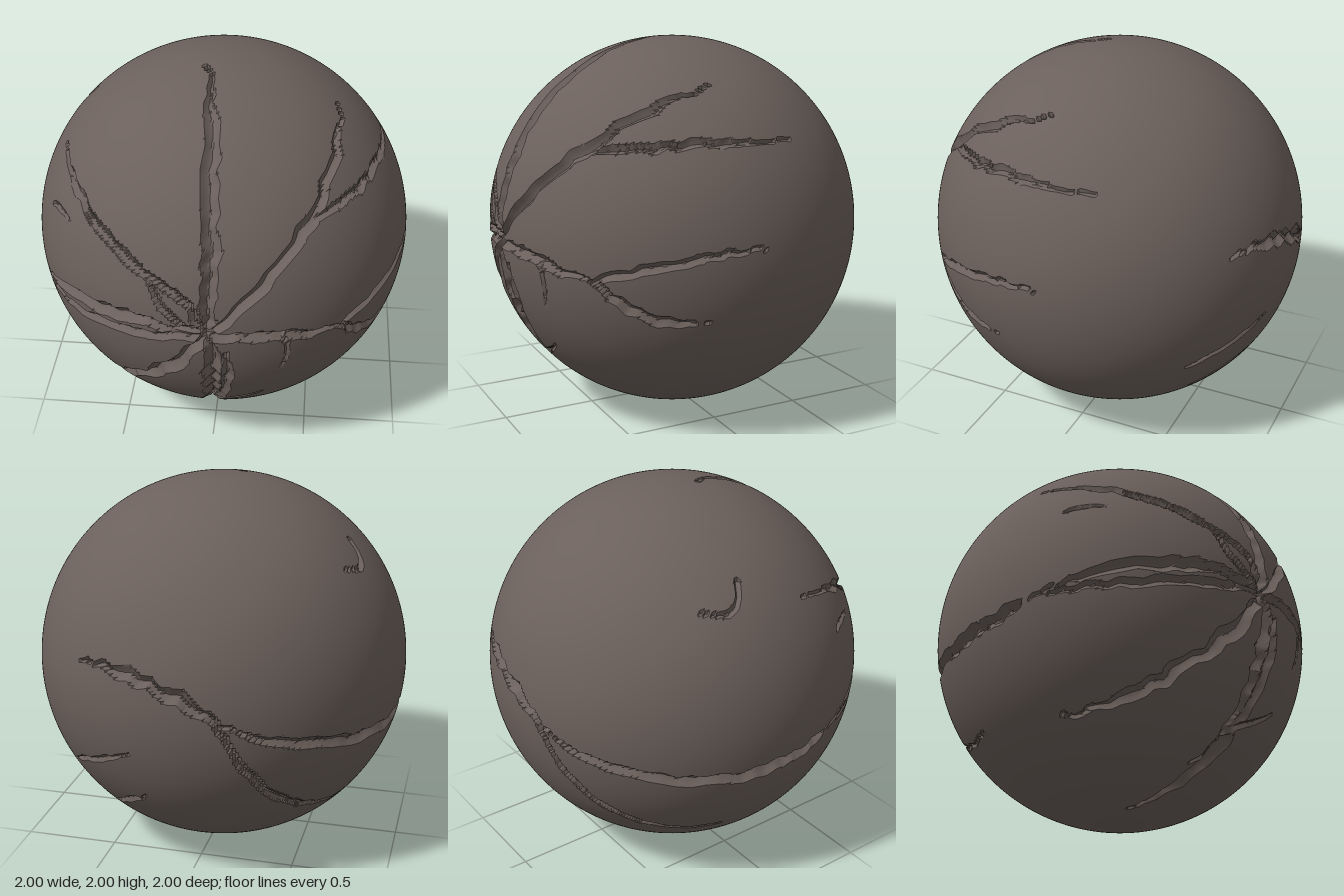
import * as THREE from 'three';
import { toCreasedNormals } from 'three/addons/utils/BufferGeometryUtils.js';

const DEG = Math.PI / 180;
let seed;
const rand = () => {
  seed = (seed * 16807) % 2147483647;
  return seed / 2147483647 - 0.5;
};

// Cracks radiating from the hub at the front: heading, reach (degrees), sideways bow, half width
const hubCracks = [
  [94, 84, -0.05, 0.04],
  [54, 85, -0.08, 0.035],
  [-8, 42, 0.01, 0.035],
  [-98, 79, 0.09, 0.045],
  [-136, 73, 0.07, 0.04],
  [187, 68, -0.08, 0.036],
  [188, 72, 0.01, 0.026],
  [115, 11, 0, 0.028],
  [134, 26, 0.06, 0.02],
];

// Branches and separate scratches: start heading and reach, end heading and reach, bow, half width
const branches = [
  [46, 44, 34, 104, -0.06, 0.025], // upper right fork
  [-8, 42, 4, 90, 0.04, 0.028], // right forks
  [-8, 42, -18, 75, -0.06, 0.03],
  [-3, 22, -38, 27, 0.03, 0.012],
  [-52, 9, -96, 55, 0.06, 0.03], // second lower crack and spur
  [-88, 41, -63, 36, 0, 0.018],
  [115, 11, 144, 78, 0.03, 0.028], // upper left
  [189, 76, 182, 168, 0.09, 0.036], // round the back
  [182, 168, 21, 146, -0.07, 0.036],
  [182, 168, 220, 103, -0.14, 0.022],
  [134, 97, 139, 111, 0.11, 0.022], // chips and scratches
  [-34, 131, -46, 161, 0.01, 0.018],
  [-58, 128, -69, 147, 0.01, 0.022],
  [158, 65, 154, 53, 0.02, 0.015],
];

// Point on the unit sphere, measured outward from the front
const onSphere = (heading, reach) => new THREE.Vector3(
  Math.cos(heading * DEG) * Math.sin(reach * DEG),
  Math.sin(heading * DEG) * Math.sin(reach * DEG),
  Math.cos(reach * DEG));

// Jagged bowed arc, as short segments carrying half width and depth
function jaggedSegments([h0, r0, h1, r1, bow, width]) {
  const start = onSphere(h0, r0), end = onSphere(h1, r1);
  const sideways = start.clone().cross(end).normalize();
  const n = Math.max(4, Math.round(start.distanceTo(end) / 0.05));
  const nodes = [];
  for (let i = 0; i <= n; i++) {
    const t = i / n;
    const jag = i ? width * 0.9 * rand() : 0;
    const p = start.clone().lerp(end, t).normalize()
      .addScaledVector(sideways, bow * Math.sin(Math.PI * t) + jag).normalize();
    const taper = Math.min(1, 0.7 + t, (1 - t) / 0.35);
    nodes.push({
      p,
      w: Math.max(0.011, width * taper * (1 + 0.45 * rand())),
      h: width * 1.15 * (1 - 0.6 * t * t),
    });
  }
  return nodes.slice(1).map((b, i) => ({ a: nodes[i], b, dir: b.p.clone().sub(nodes[i].p) }));
}

// Carve a V-shaped groove, snapping nearby points to the rim and the bottom line
function carve(p, segments) {
  const q = new THREE.Vector3();
  const best = { t: 1.25 };
  for (const { a, b, dir } of segments) {
    if (p.distanceToSquared(a.p) > 0.03) continue;
    const k = THREE.MathUtils.clamp(q.copy(p).sub(a.p).dot(dir) / dir.lengthSq(), 0, 1);
    q.copy(a.p).addScaledVector(dir, k);
    const w = a.w + (b.w - a.w) * k;
    const d = q.distanceTo(p);
    if (d / w < best.t) Object.assign(best, { t: d / w, d, w, h: a.h + (b.h - a.h) * k, q: q.clone() });
  }
  if (!best.q) return;
  const { d, w, h } = best;
  let to = d;
  if (Math.abs(d - w) < 0.006) to = w;
  else if (d < 0.005) to = 0;
  if (to !== d) p.sub(best.q).multiplyScalar(to / Math.max(d, 1e-6)).add(best.q).normalize();
  p.multiplyScalar(1 - h * (1 - Math.min(1, to / w) ** 1.4));
}

export function createModel() {
  seed = 7;
  const stone = new THREE.MeshStandardMaterial({ color: 0x6b605b });
  stone.name = 'dark stone';

  // Evenly divided ball made from a rounded-out cube
  const fromHub = hubCracks.map(([heading, ...rest]) => [heading, 0, heading, ...rest]);
  const segments = [...fromHub, ...branches].flatMap(jaggedSegments);
  const box = new THREE.BoxGeometry(2, 2, 2, 108, 108, 108);
  box.clearGroups();
  box.deleteAttribute('uv');
  const pos = box.attributes.position;
  const p = new THREE.Vector3();
  const even = (v) => Math.tan(v * Math.PI / 4);
  for (let i = 0; i < pos.count; i++) {
    p.fromBufferAttribute(pos, i);
    p.set(even(p.x), even(p.y), even(p.z)).normalize();
    carve(p, segments);
    pos.setXYZ(i, p.x, p.y, p.z);
  }

  // Scaled up while creasing so close points stay distinct
  box.scale(100, 100, 100);
  const geometry = toCreasedNormals(box, 28 * DEG);
  geometry.scale(0.01, 0.01, 0.01);

  const ball = new THREE.Mesh(geometry, stone);
  ball.name = 'crackedBall';
  ball.position.y = 1;
  const group = new THREE.Group();
  group.name = 'crackedStoneBall';
  group.add(ball);
  return group;
}
